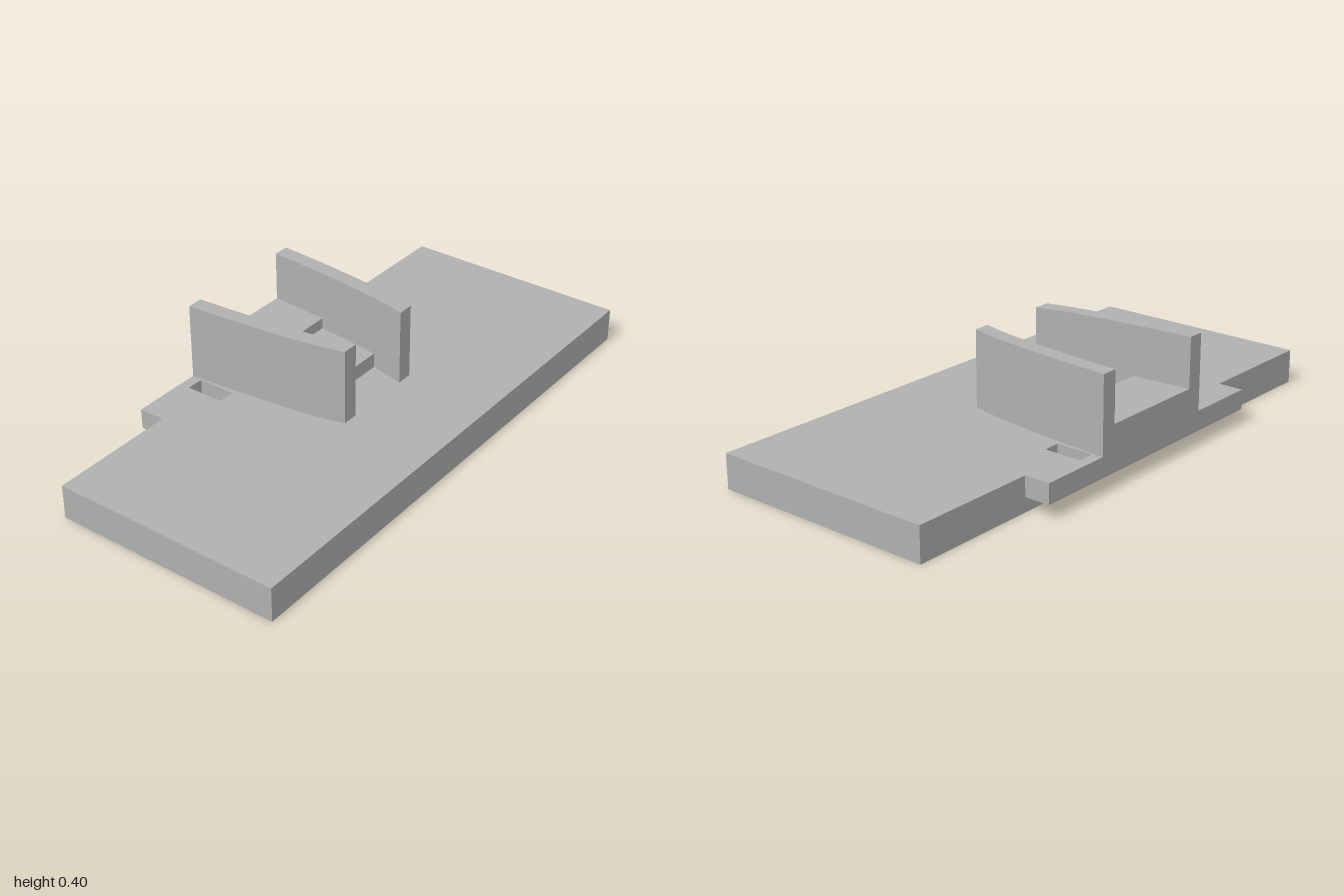
import * as THREE from 'three';
import { toCreasedNormals } from 'three/addons/utils/BufferGeometryUtils.js';

const toPoints = list => list.map(([x, z]) => new THREE.Vector2(x, z));

const rectangle = (x0, x1, z0, z1) => toPoints([[x0, z0], [x1, z0], [x1, z1], [x0, z1]]);

// Extrudes a plan outline upward from y0 to y1 (shape y becomes -z)
function slab(name, points, holes, y0, y1, material) {
  const shape = new THREE.Shape(points);
  shape.holes = holes.map(h => new THREE.Path(h));
  const geometry = new THREE.ExtrudeGeometry(shape, { depth: y1 - y0, bevelEnabled: false });
  geometry.rotateX(-Math.PI / 2);
  geometry.translate(0, y0, 0);
  const mesh = new THREE.Mesh(toCreasedNormals(geometry, 0.5), material);
  mesh.name = name;
  return mesh;
}

export function createModel() {
  const group = new THREE.Group();
  group.name = 'guideBase';
  const grey = new THREE.MeshStandardMaterial({ color: 0xb0b0b0 });
  grey.name = 'plain grey';

  const back = -0.47, rimX = -0.375, front = 0.47;
  const deck = 0.125, under = 0.052, top = 0.403;

  // Top plate with its projecting ledge and two slots
  const outline = toPoints([
    [rimX, -1], [front, -1], [front, 1], [rimX, 1],
    [rimX, 0.53], [back, 0.53], [back, -0.53], [rimX, -0.53],
  ]);
  const slots = [rectangle(-0.43, -0.29, 0.268, 0.33), rectangle(-0.43, -0.29, -0.33, -0.268)];
  group.add(slab('topPlate', outline, slots, under, deck, grey));

  // Rim around the hollow underside
  const w = 0.035;
  group.add(slab('bottomRim', rectangle(rimX, front, -1, 1),
    [rectangle(rimX + w, front - w, -1 + w, 1 - w)], 0, under, grey));

  // Pair of curved guide walls, converging towards +x
  const inner = new THREE.SplineCurve(toPoints([[back, 0.205], [-0.25, 0.188], [0, 0.157], [0.13, 0.127]])).getPoints(16);
  const outer = new THREE.SplineCurve(toPoints([[back, 0.264], [-0.25, 0.246], [0, 0.216], [0.13, 0.187]])).getPoints(16);
  for (const [name, side] of [['leftGuideWall', -1], ['rightGuideWall', 1]]) {
    const plan = [...inner, ...outer.slice().reverse()].map(p => new THREE.Vector2(p.x, side * p.y));
    group.add(slab(name, plan, [], deck, top, grey));
  }

  // Two-level floor between the walls; its sides are buried in them
  group.add(slab('upperStep', toPoints([[back, -0.215], [-0.25, -0.205], [-0.25, 0.205], [back, 0.215]]),
    [], deck, 0.22, grey));
  group.add(slab('lowerStep', toPoints([[-0.25, -0.205], [0, -0.17], [0, 0.17], [-0.25, 0.205]]),
    [], deck, 0.18, grey));

  return group;
}
